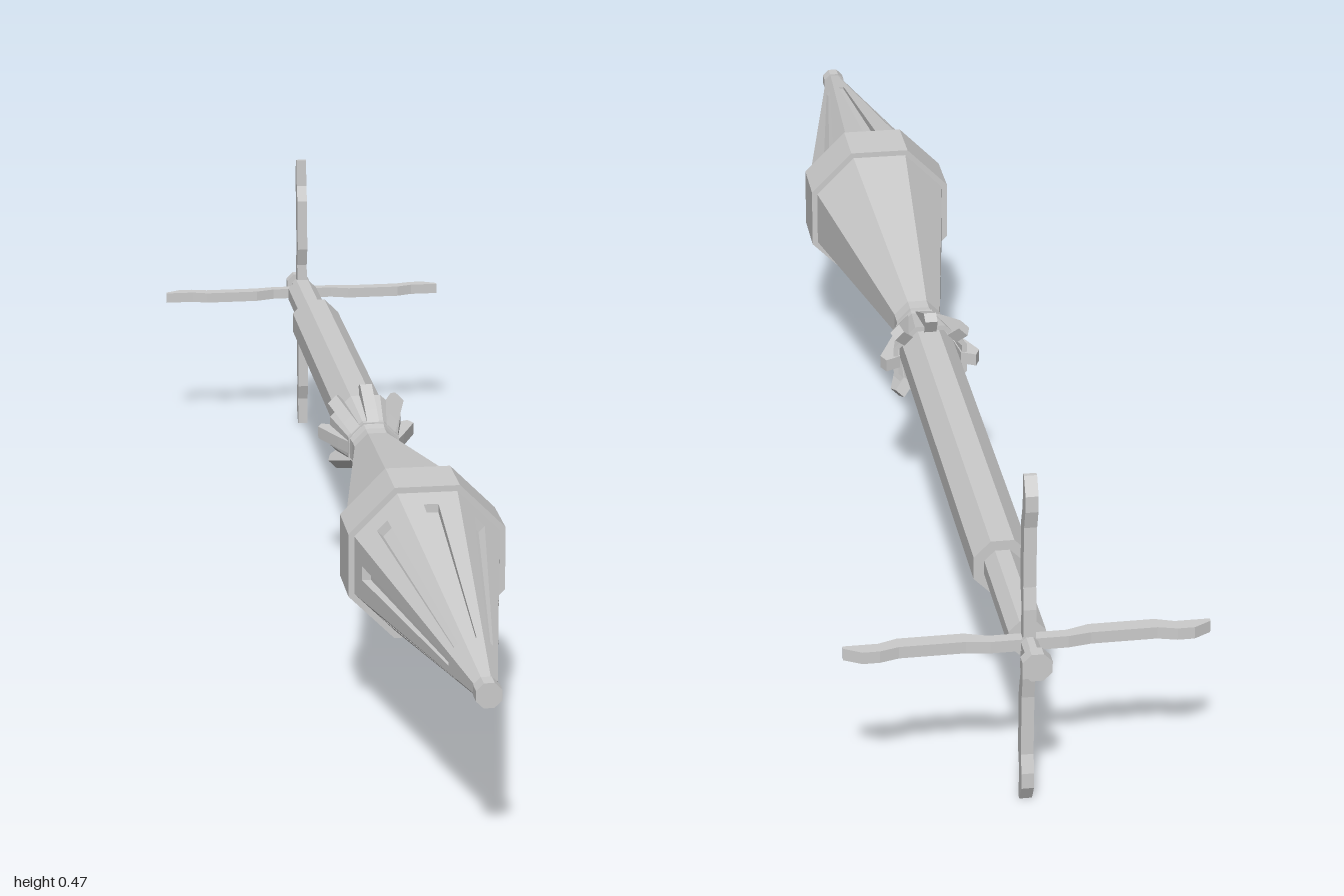
import * as THREE from 'three';

const material = new THREE.MeshStandardMaterial({ color: 0xcccccc, flatShading: true });
const shellMaterial = new THREE.MeshStandardMaterial({ color: 0xcccccc, flatShading: true, side: THREE.DoubleSide });

// Eight-sided solid along z; profile is [distance to flat, z] with z rising
function octagon(name, profile, mat = material) {
  const k = 1 / Math.cos(Math.PI / 8);
  const points = profile.map(([r, z]) => new THREE.Vector2(r * k, z));
  const geometry = new THREE.LatheGeometry(points, 8, Math.PI / 8);
  geometry.rotateX(Math.PI / 2);
  const mesh = new THREE.Mesh(geometry, mat);
  mesh.name = name;
  return mesh;
}

// Straight rod closed at both ends
const rod = (name, r, z0, z1) => octagon(name, [[0, z0], [r, z0], [r, z1], [0, z1]]);

// Flat plate from an [r, z] outline, repeated around the axis
function radialPlates(name, outline, width, count) {
  const shape = new THREE.Shape(outline.map(([r, z]) => new THREE.Vector2(r, z)));
  const geometry = new THREE.ExtrudeGeometry(shape, { depth: width, bevelEnabled: false });
  geometry.translate(0, 0, -width / 2);
  geometry.rotateX(Math.PI / 2);
  const group = new THREE.Group();
  group.name = name + 's';
  for (let i = 0; i < count; i++) {
    const mesh = new THREE.Mesh(geometry, material);
    mesh.name = name;
    mesh.rotation.z = (i / count) * Math.PI * 2;
    group.add(mesh);
  }
  return group;
}

// One face of the nose cone with a tapering recessed groove
function noseFaceGeometry() {
  const z0 = 0.495, z1 = 0.98, r0 = 0.1, r1 = 0.014;
  const radius = (z) => r0 + ((z - z0) / (z1 - z0)) * (r1 - r0);
  const loop = (za, wa, da, zb, wb, db) => [
    [-wa, radius(za) - da, za], [-wb, radius(zb) - db, zb],
    [wb, radius(zb) - db, zb], [wa, radius(za) - da, za],
  ];
  const t = Math.tan(Math.PI / 8);
  const outer = loop(z0, r0 * t, 0, z1, r1 * t, 0);
  const rim = loop(0.53, 0.01, 0, 0.88, 0.004, 0);
  const floor = loop(0.53, 0.01, 0.012, 0.88, 0.004, 0.004);

  const positions = [];
  const quad = (a, b, c, d) => positions.push(...a, ...b, ...c, ...a, ...c, ...d);
  for (let i = 0; i < 4; i++) {
    const j = (i + 1) % 4;
    quad(outer[i], outer[j], rim[j], rim[i]);
    quad(rim[i], rim[j], floor[j], floor[i]);
  }
  quad(...floor);

  const geometry = new THREE.BufferGeometry();
  geometry.setAttribute('position', new THREE.Float32BufferAttribute(positions, 3));
  geometry.computeVertexNormals();
  return geometry;
}

export function createModel() {
  const model = new THREE.Group();
  model.name = 'finnedProjectile';
  const body = new THREE.Group();
  body.name = 'body';
  body.position.y = 0.235;
  model.add(body);

  // Grooved nose cone and its blunt tip
  const nose = new THREE.Group();
  nose.name = 'noseCone';
  const face = noseFaceGeometry();
  for (let i = 0; i < 8; i++) {
    const mesh = new THREE.Mesh(face, material);
    mesh.name = 'groovedFace';
    mesh.rotation.z = (i * Math.PI) / 4;
    nose.add(mesh);
  }
  body.add(nose, rod('noseTip', 0.0165, 0.978, 1));

  // Wide band and long rear taper
  body.add(rod('headBand', 0.108, 0.41, 0.497));
  body.add(octagon('rearTaper', [[0, -0.02], [0.034, -0.02], [0.034, 0.01], [0.1, 0.412]]));

  // Hollow flared collar with ribs
  body.add(octagon('flaredCollar', [
    [0.038, -0.05], [0.047, -0.12], [0.054, -0.12], [0.036, -0.03], [0.033, -0.005],
  ], shellMaterial));
  body.add(radialPlates('collarRib', [
    [0.034, -0.025], [0.045, -0.12], [0.066, -0.131], [0.073, -0.115], [0.05, -0.06],
  ], 0.018, 8));

  // Main tube, tail tube and end pin
  body.add(rod('mainTube', 0.038, -0.74, -0.03));
  body.add(rod('tailTube', 0.024, -0.925, -0.73));
  body.add(rod('tailPin', 0.011, -0.985, -0.92));
  body.add(rod('pinCap', 0.019, -1, -0.983));

  // Four cranked tail fins
  body.add(radialPlates('tailFin', [
    [0, -0.943], [0.05, -0.943], [0.08, -0.938], [0.165, -0.938], [0.19, -0.945], [0.212, -0.945],
    [0.235, -0.932], [0.235, -0.926], [0.19, -0.926], [0.165, -0.917],
    [0.08, -0.917], [0.05, -0.927], [0, -0.927],
  ], 0.0165, 4));

  return model;
}
